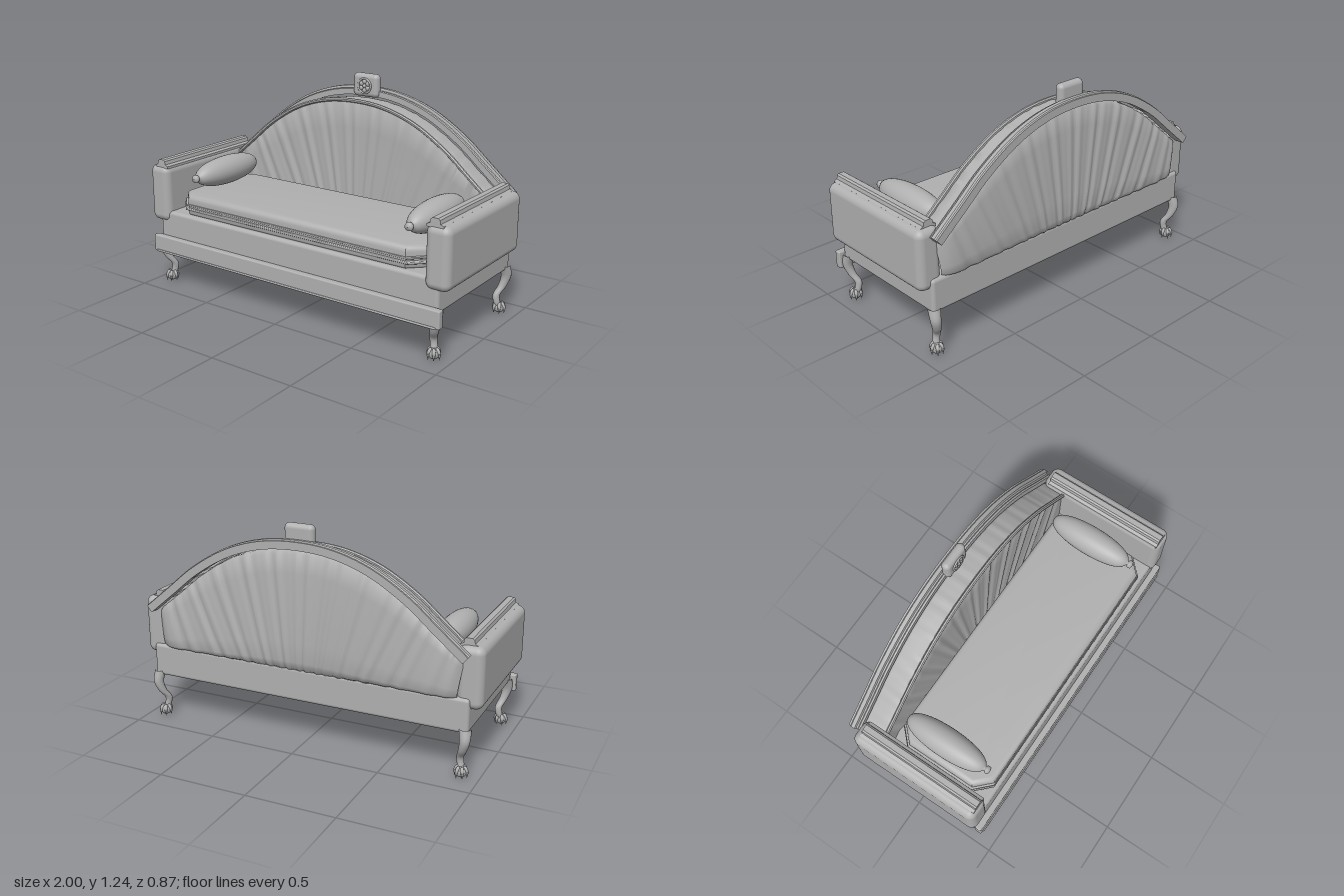
import * as THREE from 'three';
import { toCreasedNormals } from 'three/addons/utils/BufferGeometryUtils.js';
import { RoundedBoxGeometry } from 'three/addons/geometries/RoundedBoxGeometry.js';

const V = (x, y, z) => new THREE.Vector3(x, y, z);

// Surface through a grid of points: f(i, j) gives the point in column i, row j
function grid(nu, nv, f) {
  const pos = [], index = [];
  for (let i = 0; i <= nu; i++) for (let j = 0; j <= nv; j++) pos.push(...f(i, j));
  for (let i = 0; i < nu; i++) for (let j = 0; j < nv; j++) {
    const a = i * (nv + 1) + j, b = a + nv + 1;
    index.push(a, b, b + 1, a, b + 1, a + 1);
  }
  const g = new THREE.BufferGeometry();
  g.setAttribute('position', new THREE.Float32BufferAttribute(pos, 3));
  g.setIndex(index);
  g.computeVertexNormals();
  return g;
}

export function createModel() {
  const model = new THREE.Group();
  model.name = 'sofa';
  const grey = new THREE.MeshStandardMaterial({ color: 0xb0b0b0 });
  grey.name = 'plain grey';

  const add = (name, geo, x = 0, y = 0, z = 0, parent = model) => {
    const m = new THREE.Mesh(geo, grey);
    m.name = name;
    m.position.set(x, y, z);
    parent.add(m);
    return m;
  };
  const block = (name, x0, x1, y0, y1, z0, z1, r, seg = 4) =>
    add(name, new RoundedBoxGeometry(x1 - x0, y1 - y0, z1 - z0, seg, r),
      (x0 + x1) / 2, (y0 + y1) / 2, (z0 + z1) / 2);

  // Base and front rail
  block('seatBase', -0.94, 0.94, 0.26, 0.45, -0.387, 0.395, 0.02);
  block('frontRail', -0.97, 0.97, 0.2, 0.3, 0.39, 0.43, 0.008, 2);
  block('frontRailBead', -0.95, 0.95, 0.2, 0.212, 0.42, 0.437, 0.005, 2);

  // Arms with moulded top rails
  const railShape = new THREE.Shape([[-0.048, 0], [0.048, 0], [0.048, 0.014], [0.03, 0.022],
    [0.026, 0.042], [0.016, 0.05], [-0.016, 0.05], [-0.026, 0.042], [-0.03, 0.022], [-0.048, 0.014]]
    .map(p => new THREE.Vector2(...p)));
  for (const s of [-1, 1]) {
    block('arm', s * 0.93 - 0.07, s * 0.93 + 0.07, 0.385, 0.722, -0.372, 0.412, 0.042, 6);
    add('armTopRail', new THREE.ExtrudeGeometry(railShape, { depth: 0.735, bevelEnabled: false }),
      s * 0.912, 0.708, -0.338);
  }

  // Seat cushion with clipped corners and two rows of piping
  const outline = (hx, hz, c) => [[hx - c, -hz], [hx, c - hz], [hx, hz - c], [hx - c, hz],
    [c - hx, hz], [-hx, hz - c], [-hx, c - hz], [c - hx, -hz]];
  const slab = (name, hx, hz, c, y0, y1, bevel) => {
    const shape = new THREE.Shape(outline(hx - bevel, hz - bevel, c).map(p => new THREE.Vector2(...p)));
    const g = new THREE.ExtrudeGeometry(shape, { depth: y1 - y0 - 2 * bevel, bevelThickness: bevel,
      bevelSize: bevel, bevelSegments: 5 });
    g.rotateX(-Math.PI / 2);
    add(name, toCreasedNormals(g, 0.6), 0, y0 + bevel, 0.073);
  };
  slab('seatCushion', 0.822, 0.297, 0.07, 0.44, 0.567, 0.03);
  slab('cushionWelt', 0.84, 0.304, 0.085, 0.476, 0.492, 0.006);
  slab('cushionWelt', 0.835, 0.302, 0.085, 0.502, 0.514, 0.005);

  // Arch followed by the back, its piping and the crest rail
  const half = [[0.2, 1.1], [0.4, 1.035], [0.6, 0.915], [0.75, 0.79], [0.91, 0.655]];
  const arch = new THREE.CatmullRomCurve3([...half.map(([x, y]) => V(-x, y, 0)).reverse(),
    V(0, 1.118, 0), ...half.map(([x, y]) => V(x, y, 0))]);

  // Pleated back: each column runs up the front, over the top and down the rear [height, z]
  const section = [[0, -0.243], [0.25, -0.243], [0.5, -0.243], [0.75, -0.243], [0.96, -0.24],
    [0.985, -0.25], [0.985, -0.3], [0.985, -0.36], [0.98, -0.378], [0.95, -0.392], [0.8, -0.4],
    [0.5, -0.406], [0.25, -0.411], [0.08, -0.409], [0.02, -0.4], [-0.01, -0.375]];
  add('pleatedBack', toCreasedNormals(grid(260, section.length - 1, (i, j) => {
    const u = i / 130 - 1, [t, z] = section[j];
    const top = arch.getPoint(i / 260);
    const xb = 0.87 * (0.6 * u + 0.4 * u ** 3);
    const fold = 0.003 * (Math.sin(u * 62) + 0.6 * Math.sin(u * 97 + 1));
    const side = j < 5 ? 1 : j > 7 ? -1 : 0;
    const h = t + (side ? 0 : fold * 0.8);
    const edge = Math.max(0, Math.abs(u) - 0.94) / 0.06;
    const zz = z + side * fold + (side < 0 ? 0.03 * edge * edge : 0);
    return [xb + (top.x * 0.99 - xb) * h, 0.44 + (top.y - 0.44) * h, zz];
  }), 0.9));

  // Sweeps a closed profile of [outward, z] along the arch, with closed ends
  const sweep = (name, profile, n = 80) => {
    const m = profile.length;
    const mid = profile.reduce((a, p) => [a[0] + p[0] / m, a[1] + p[1] / m], [0, 0]);
    add(name, toCreasedNormals(grid(n + 2, m, (i, j) => {
      const t = Math.min(Math.max(i - 1, 0), n) / n;
      const p = arch.getPoint(t), d = arch.getTangent(t);
      const [o, z] = i === 0 || i === n + 2 ? mid : profile[j % m];
      return [p.x - d.y * o, p.y + d.x * o, z];
    }), 0.5));
  };
  sweep('crestRail', [[0, -0.368], [0.034, -0.368], [0.038, -0.378], [0.032, -0.384], [0.036, -0.392],
    [0.05, -0.396], [0.05, -0.418], [0.044, -0.424], [0.044, -0.435], [0, -0.435]]);
  sweep('backPiping', [[-0.02, -0.236], [-0.014, -0.226], [-0.004, -0.224], [0.003, -0.23],
    [0.003, -0.24], [-0.004, -0.246], [-0.018, -0.246]]);

  // Crest block with a rosette
  block('crestBlock', -0.085, 0.085, 1.112, 1.247, -0.4, -0.346, 0.026, 5);
  const rosette = new THREE.Group();
  rosette.name = 'rosette';
  rosette.position.set(0, 1.178, -0.345);
  model.add(rosette);
  add('rosetteRing', new THREE.TorusGeometry(0.042, 0.006, 8, 28), 0, 0, 0.002, rosette);
  add('rosetteCentre', new THREE.SphereGeometry(0.011, 12, 8), 0, 0, 0.002, rosette);
  for (let k = 0; k < 6; k++) {
    const a = k * Math.PI / 3;
    add('petal', new THREE.SphereGeometry(0.014, 10, 8), 0.025 * Math.sin(a), 0.025 * Math.cos(a), 0, rosette)
      .scale.z = 0.7;
  }

  // Bolsters with an end knob
  const bolster = [V(0, -0.2, 0)];
  for (let k = 1; k <= 18; k++) {
    const a = k / 19 * Math.PI;
    bolster.push(V(0.083 * Math.sin(a) ** 0.8, 0.05 - 0.25 * Math.cos(a), 0));
  }
  bolster.push(V(0.012, 0.303, 0), V(0.02, 0.307, 0), V(0.024, 0.317, 0), V(0.02, 0.329, 0), V(0, 0.334, 0));
  for (const s of [-1, 1])
    add('bolster', new THREE.LatheGeometry(bolster, 32), s * 0.72, 0.655, 0).rotation.x = Math.PI / 2;

  // Cabriole legs on clawed feet
  const legPath = [[0.92, 0.285, 0.365], [0.926, 0.22, 0.384], [0.912, 0.16, 0.372],
    [0.893, 0.11, 0.343], [0.897, 0.07, 0.343], [0.905, 0.04, 0.355]];
  for (const sx of [-1, 1]) for (const sz of [-1, 1]) {
    const curve = new THREE.CatmullRomCurve3(legPath.map(([x, y, z]) => V(sx * x, y, sz * z)));
    add('leg', grid(24, 14, (i, j) => {
      const p = curve.getPoint(i / 24), a = j / 14 * Math.PI * 2;
      const r = 0.034 - 0.015 * Math.sin(Math.min(1, i / 19) * Math.PI / 2);
      return [p.x + r * Math.cos(a), p.y, p.z - r * 1.05 * Math.sin(a)];
    }));
    const foot = new THREE.Group();
    foot.name = 'foot';
    foot.position.set(sx * 0.905, 0, sz * 0.357);
    model.add(foot);
    add('ball', new THREE.SphereGeometry(0.031, 18, 12), 0, 0.036, 0, foot);
    for (let k = 0; k < 6; k++) {
      const toe = new THREE.Group();
      toe.name = 'toe';
      toe.rotation.y = (k + 0.5) * Math.PI / 3;
      foot.add(toe);
      const knuckle = add('knuckle', new THREE.SphereGeometry(0.011, 10, 8), 0, 0.05, 0.026, toe);
      knuckle.scale.set(0.9, 2, 1);
      knuckle.rotation.x = -0.45;
      const claw = add('claw', new THREE.ConeGeometry(0.009, 0.036, 8), 0, 0.021, 0.033, toe);
      claw.rotation.x = Math.PI;
    }
  }
  return model;
}
